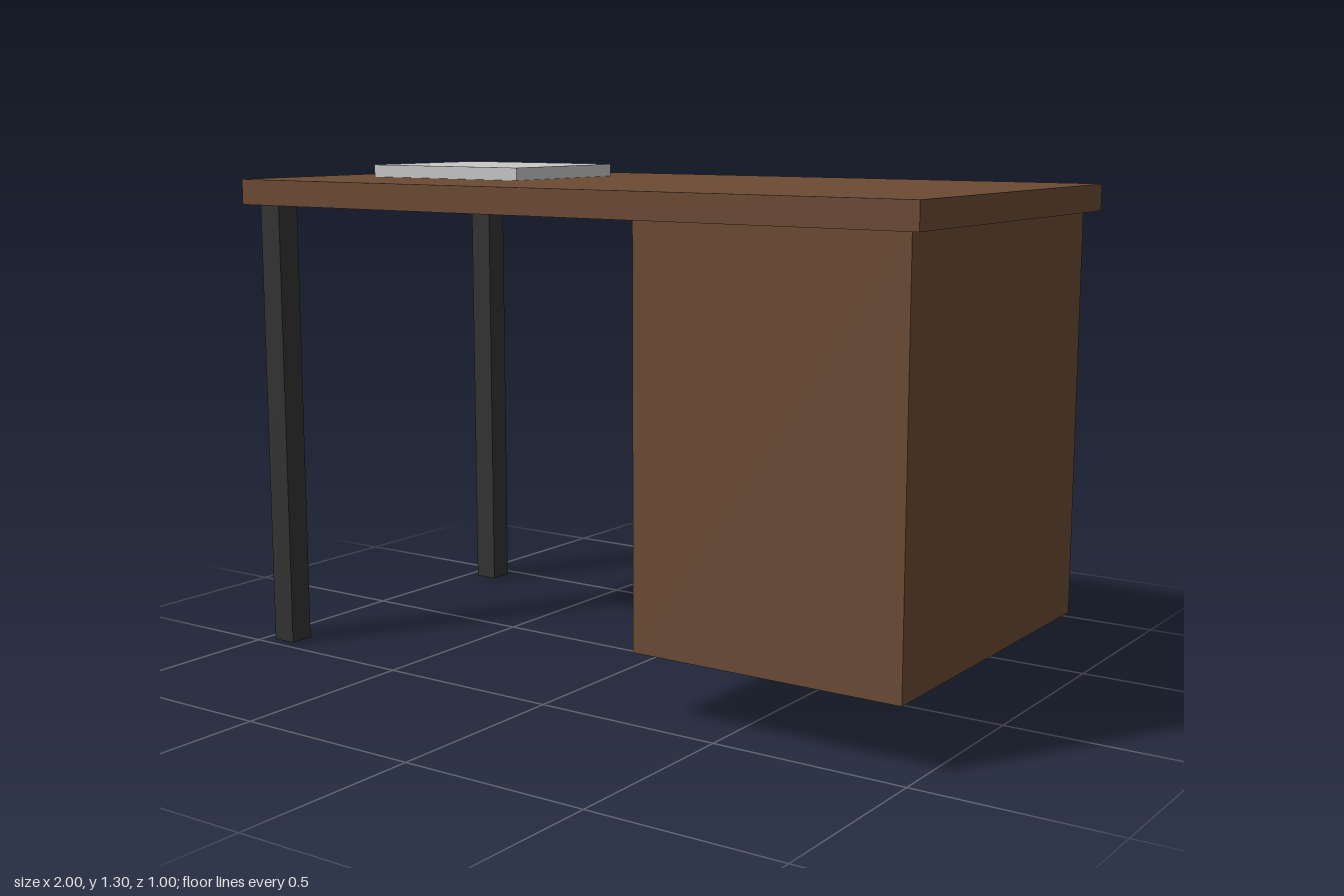
import * as THREE from 'three';

const material = (name, color) => {
  const m = new THREE.MeshStandardMaterial({ color });
  m.name = name;
  return m;
};

// Box given by its minimum and maximum corners
function block(name, mat, [x0, y0, z0], [x1, y1, z1]) {
  const mesh = new THREE.Mesh(new THREE.BoxGeometry(x1 - x0, y1 - y0, z1 - z0), mat);
  mesh.position.set((x0 + x1) / 2, (y0 + y1) / 2, (z0 + z1) / 2);
  mesh.name = name;
  return mesh;
}

export function createModel() {
  const wood = material('brown wood', 0x6b4a34);
  const metal = material('dark metal', 0x333333);
  const silver = material('light grey', 0xc8c8c8);

  const desk = new THREE.Group();
  desk.name = 'desk';

  // Desktop slab and the cabinet hanging under its left end
  desk.add(block('desktop', wood, [-1, 1.2, -0.5], [1, 1.267, 0.5]));
  desk.add(block('cabinet', wood, [0.25, 0.167, -0.467], [0.967, 1.2, 0.467]));

  // Square legs at the right end
  for (const [name, z] of [['frontLeg', 0.4], ['backLeg', -0.467]]) {
    desk.add(block(name, metal, [-0.967, 0, z], [-0.9, 1.2, z + 0.067]));
  }

  // Closed laptop lying on the desktop
  desk.add(block('closedLaptop', silver, [-0.833, 1.267, -0.25], [-0.333, 1.3, 0.167]));

  return desk;
}
